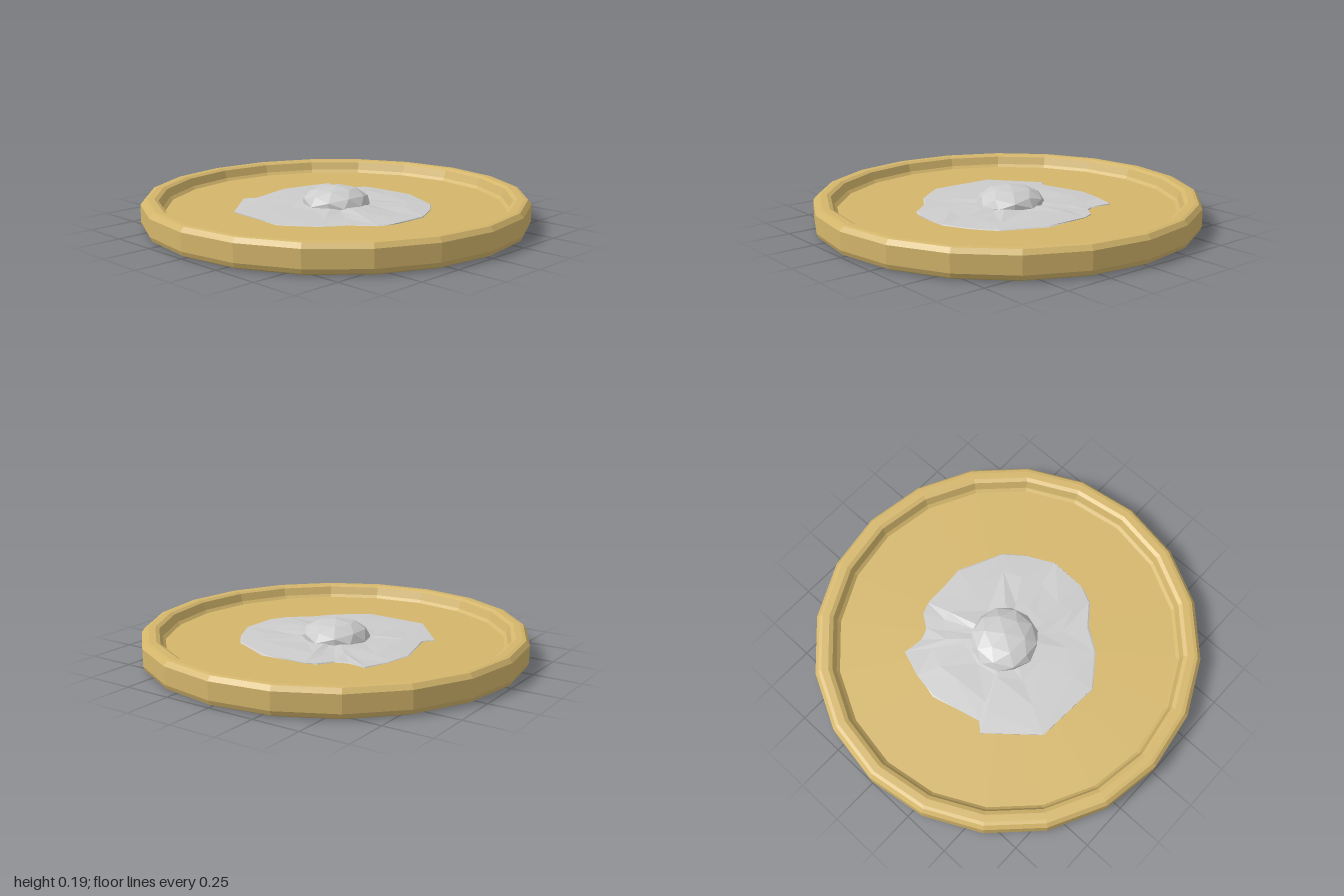
import * as THREE from 'three';

const FLOOR = 0.085;

// Small seeded generator for the uneven surface of the patch
function seeded(seed) {
  return () => (seed = (seed * 16807) % 2147483647) / 2147483647;
}

function part(name, geometry, color) {
  const mesh = new THREE.Mesh(geometry, new THREE.MeshStandardMaterial({ color, flatShading: true }));
  mesh.name = name;
  return mesh;
}

// Irregular thin patch: shrinking rings of one outline, wavering in height
function patchGeometry() {
  const outline = [
    [-0.41, -0.35], [-0.31, -0.34], [-0.24, -0.36], [-0.19, -0.43], [-0.13, -0.45], [0.12, -0.47],
    [0.35, -0.36], [0.43, -0.25], [0.50, -0.11], [0.49, 0.08], [0.46, 0.18], [0.35, 0.27],
    [0.27, 0.39], [0.10, 0.51], [-0.25, 0.48], [-0.46, 0.24], [-0.42, 0.19], [-0.49, -0.07], [-0.46, -0.21],
  ];
  // scale, height above the floor, height jitter
  const rings = [[1, -0.004, 0], [0.98, 0.004, 0.004], [0.72, 0.011, 0.014], [0.42, 0.014, 0.012], [0.2, 0.02, 0]];
  const random = seeded(41);
  const n = outline.length;
  const positions = [];
  const index = [];
  rings.forEach(([scale, height, jitter]) => {
    for (const [x, z] of outline) {
      const s = scale * (1 + (random() - 0.5) * 12 * jitter);
      positions.push(x * s, FLOOR + height + (random() - 0.5) * jitter, z * s);
    }
  });
  for (let r = 0; r < rings.length - 1; r++) {
    for (let i = 0; i < n; i++) {
      const a = r * n + i, b = r * n + (i + 1) % n;
      const c = a + n, d = b + n;
      if (i % 2) index.push(b, a, c, b, c, d);
      else index.push(b, a, d, a, c, d);
    }
  }
  const geometry = new THREE.BufferGeometry();
  geometry.setAttribute('position', new THREE.Float32BufferAttribute(positions, 3));
  geometry.setIndex(index);
  geometry.computeVertexNormals();
  return geometry;
}

export function createModel() {
  const model = new THREE.Group();
  model.name = 'plateWithEgg';

  // Shallow twenty-sided plate with a bevelled rim
  const profile = [
    [0, 0], [0.965, 0], [0.99, 0.012], [1, 0.035], [1, 0.125], [0.982, 0.148],
    [0.965, 0.152], [0.93, 0.152], [0.91, 0.142], [0.895, 0.1], [0.88, FLOOR], [0, FLOOR],
  ].map(([r, y]) => new THREE.Vector2(r, y));
  model.add(part('plate', new THREE.LatheGeometry(profile, 20), 0xd4b66c));

  // Egg white spread over the plate
  const white = part('eggWhite', patchGeometry(), 0xcccccc);
  white.material.side = THREE.DoubleSide;
  model.add(white);

  // Flattened faceted yolk
  const yolk = part('yolk', new THREE.IcosahedronGeometry(0.18, 1), 0xcccccc);
  yolk.scale.y = 0.5;
  yolk.position.set(-0.01, 0.1, -0.01);
  model.add(yolk);

  return model;
}
